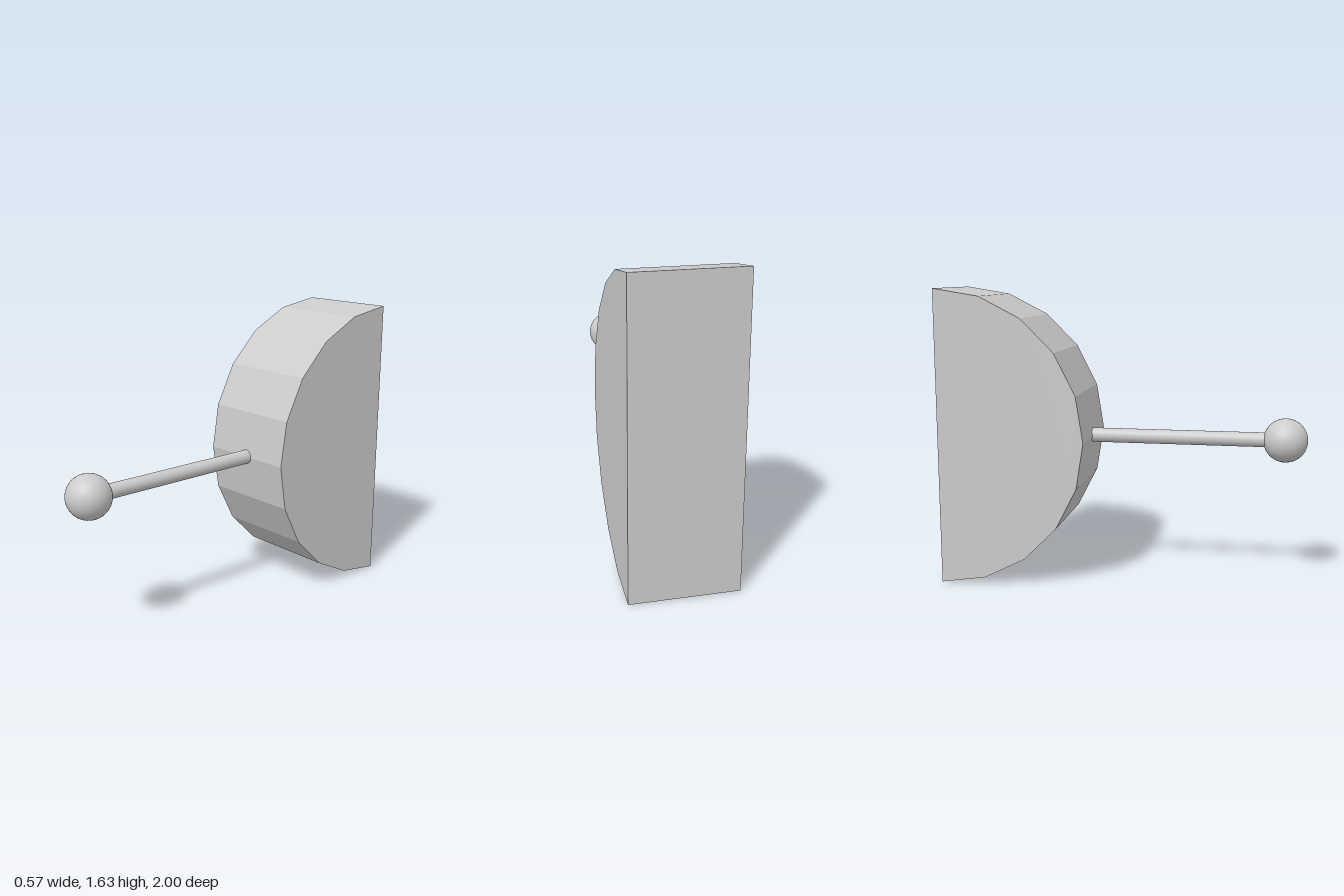
import * as THREE from 'three';

export function createModel() {
  const group = new THREE.Group();
  const centreY = 0.818, radius = 0.816, width = 0.57, backZ = -1;
  const ballZ = 0.88, ballRadius = 0.12, rodRadius = 0.04;

  const add = (name, geometry, flatShading = false) => {
    const mesh = new THREE.Mesh(
      geometry,
      new THREE.MeshStandardMaterial({ color: 0xcccccc, flatShading })
    );
    mesh.name = name;
    group.add(mesh);
    return mesh;
  };

  // Half-disc block: ten flat facets in front, flat back
  const profile = new THREE.Shape();
  for (let i = 0; i <= 10; i++) {
    const a = -Math.PI / 2 + (i * Math.PI) / 10;
    const x = radius * Math.cos(a), y = radius * Math.sin(a);
    if (i === 0) profile.moveTo(x, y);
    else profile.lineTo(x, y);
  }
  profile.closePath();
  const block = new THREE.ExtrudeGeometry(profile, { depth: width, bevelEnabled: false });
  block.translate(0, 0, -width / 2).rotateY(-Math.PI / 2);
  add('halfDiscBlock', block, true).position.set(0, centreY, backZ);

  // Rod running from inside the block into the ball
  const rodStart = backZ + radius - 0.05;
  const rod = new THREE.CylinderGeometry(rodRadius, rodRadius, ballZ - rodStart, 24);
  rod.rotateX(Math.PI / 2);
  add('rod', rod).position.set(0, centreY, (rodStart + ballZ) / 2);

  // Ball knob at the front end
  const ball = new THREE.SphereGeometry(ballRadius, 32, 24);
  ball.rotateX(Math.PI / 2);
  add('ballKnob', ball).position.set(0, centreY, ballZ);

  return group;
}
